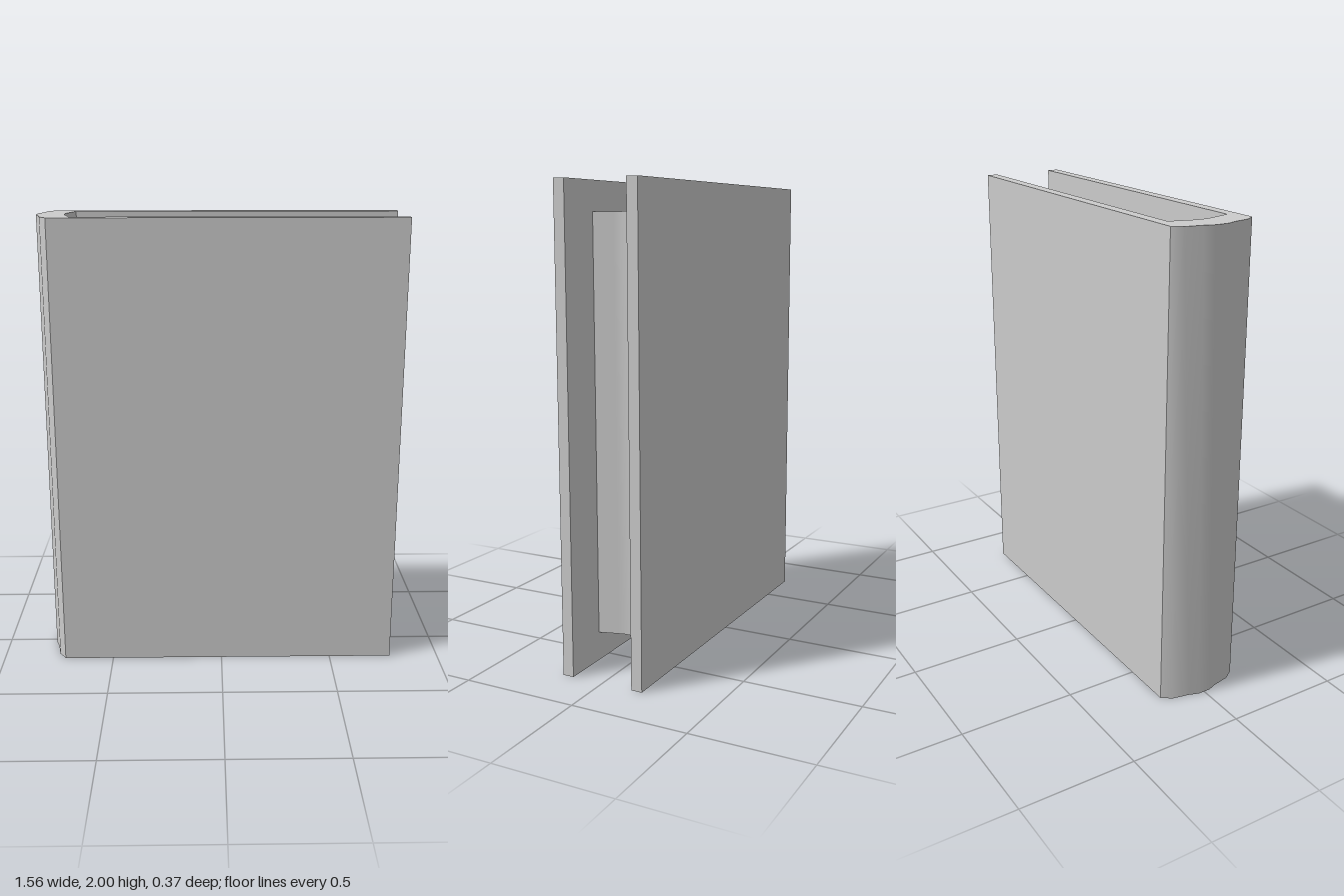
import * as THREE from 'three';
import { toCreasedNormals } from 'three/addons/utils/BufferGeometryUtils.js';

const HALF = 0.185;   // half thickness of the closed book
const INNER = 0.137;  // half thickness of the page block
const HEIGHT = 2;
const INSET = 0.123;  // page block margin at top and bottom

// half curves as [x, z], running from the outer edge to the middle
const spineOuter = [[-0.72, HALF], [-0.75, 0.143], [-0.765, 0.07], [-0.78, 0.028]];
const spineInner = [[-0.63, INNER], [-0.655, 0.05], [-0.662, 0.025]];
const foreEdge = [[0.58, INNER], [0.557, 0.055], [0.55, 0.028]];

// mirrors a half curve across z = 0, going from +z to -z
const mirrored = (half) => [...half, ...half.map(([x, z]) => [x, -z]).reverse()];

// extrudes an x/z outline upwards from y0
function upright(name, outline, y0, height) {
  const shape = new THREE.Shape(outline.map(([x, z]) => new THREE.Vector2(x, -z)));
  const geometry = new THREE.ExtrudeGeometry(shape, { depth: height, bevelEnabled: false });
  geometry.rotateX(-Math.PI / 2).translate(0, y0, 0);
  const mesh = new THREE.Mesh(
    toCreasedNormals(geometry, 0.6),
    new THREE.MeshStandardMaterial({ color: 0xcccccc })
  );
  mesh.name = name;
  return mesh;
}

export function createModel() {
  const book = new THREE.Group();
  book.name = 'book';

  // both boards and the rounded spine in one U-shaped outline
  const cover = [
    [0.78, HALF], ...mirrored(spineOuter), [0.78, -HALF],
    [0.78, -INNER], ...mirrored(spineInner).reverse(), [0.78, INNER],
  ];
  book.add(upright('cover', cover, 0, HEIGHT));

  // page block: rounded back, hollow fore edge
  const pages = [...mirrored(spineInner), ...mirrored(foreEdge).reverse()];
  book.add(upright('pages', pages, INSET, HEIGHT - 2 * INSET));

  return book;
}
